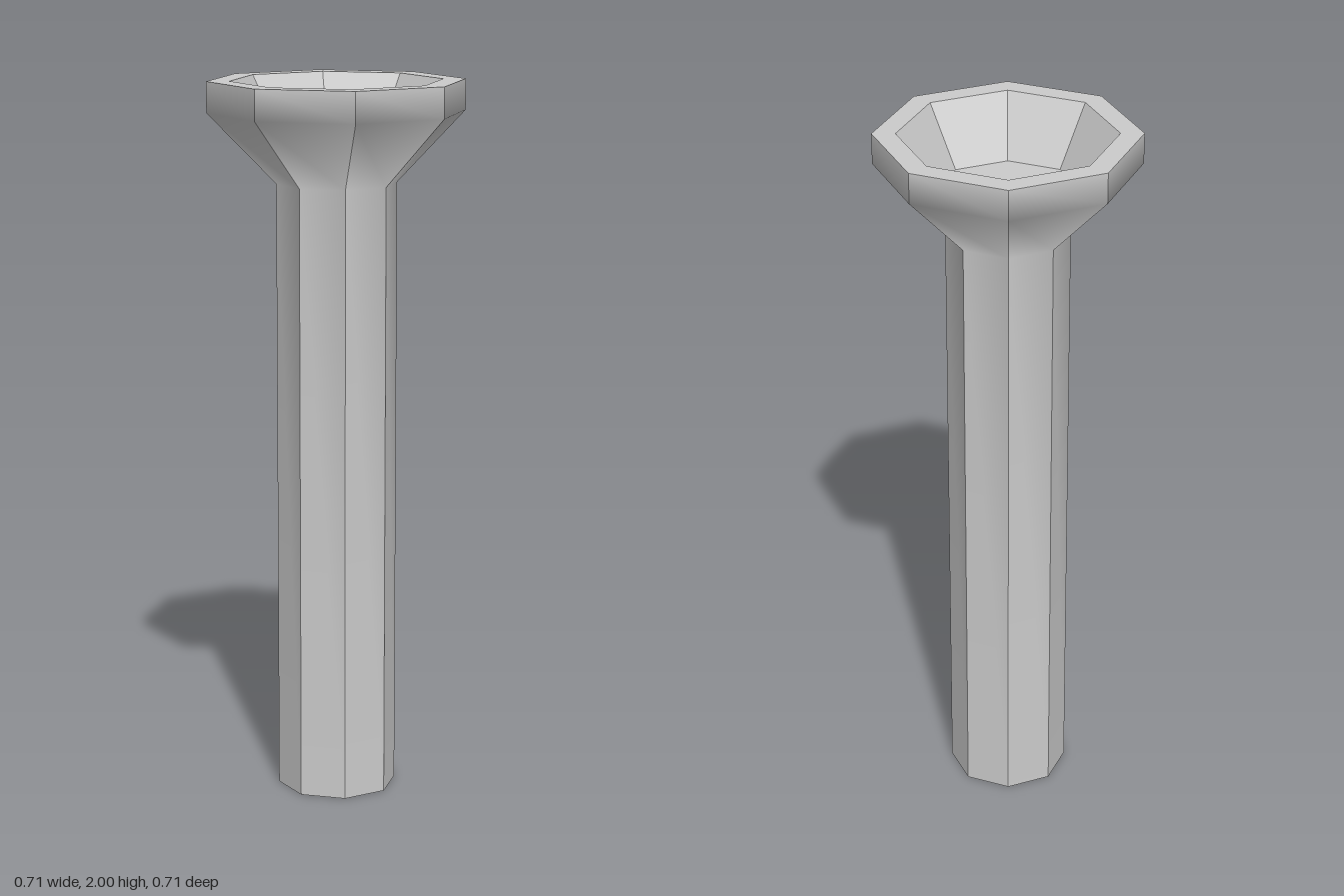
import * as THREE from 'three';
import { mergeGeometries } from 'three/addons/utils/BufferGeometryUtils.js';

const SIDES = 8;
const STEP = (Math.PI * 2) / SIDES;

// Octagonal lathe: sharp edges between the sides, smooth along the profile.
function facetedLathe(profile) {
  const points = profile.map(([r, y]) => new THREE.Vector2(r, y));
  const sides = [];
  for (let i = 0; i < SIDES; i++) {
    const side = new THREE.LatheGeometry(points, 1, i * STEP, STEP);
    side.computeVertexNormals();
    sides.push(side);
  }
  return mergeGeometries(sides);
}

// Flat octagon facing up (or down).
function octagon(radius, y, up = true) {
  return new THREE.CircleGeometry(radius, SIDES)
    .rotateX(up ? -Math.PI / 2 : Math.PI / 2)
    .translate(0, y, 0);
}

export function createModel() {
  const group = new THREE.Group();
  group.name = 'pillar';
  const material = new THREE.MeshStandardMaterial({ color: 0xcccccc });
  const add = (name, geometry) => {
    const mesh = new THREE.Mesh(geometry, material);
    mesh.name = name;
    group.add(mesh);
  };

  // Straight shaft flowing into the flared head
  add('shaftAndFlare', facetedLathe([[0.167, 0], [0.167, 1.72], [0.356, 1.915], [0.356, 2]]));
  add('base', octagon(0.167, 0, false));

  // Flat rim and the sunken bowl inside it
  add('rim', facetedLathe([[0.356, 2], [0.293, 2]]));
  add('bowlWall', facetedLathe([[0.293, 2], [0.198, 1.835]]));
  add('bowlFloor', octagon(0.198, 1.835));

  return group;
}
